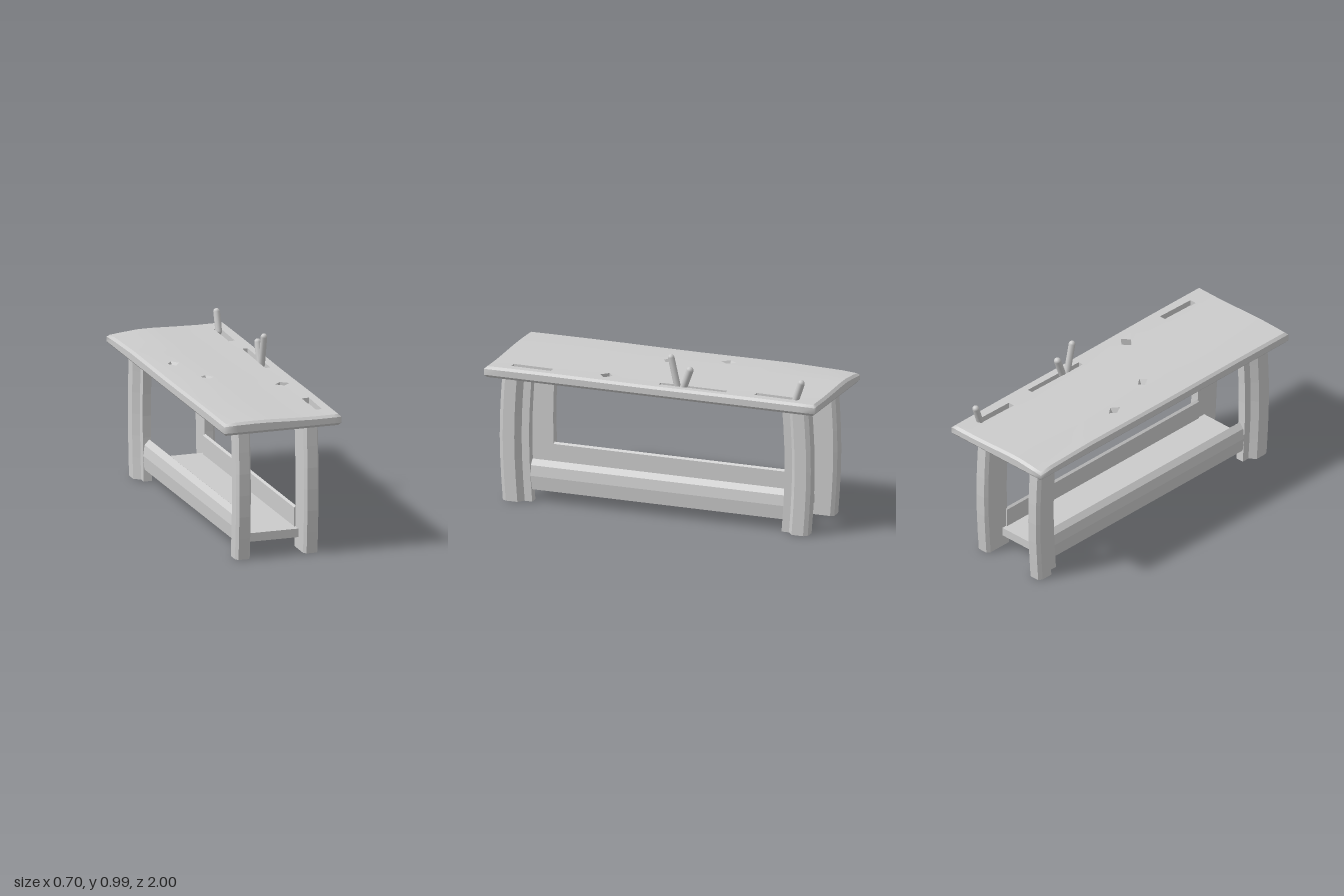
import * as THREE from 'three';
import { mergeGeometries, mergeVertices } from 'three/addons/utils/BufferGeometryUtils.js';

const smooth = new THREE.MeshStandardMaterial({ color: 0xcccccc, side: THREE.DoubleSide });
const flat = new THREE.MeshStandardMaterial({ color: 0xcccccc, side: THREE.DoubleSide, flatShading: true });
const V2 = (p) => new THREE.Vector2(p[0], -p[1]);

// Gently worn top surface
function topY(x, z) {
  const corner = Math.max(0, 1 - Math.hypot((x + 0.35) / 0.2, (z + 1) / 0.2));
  return 0.819 - 0.005 * Math.sin((x - 0.01) * 8) - 0.003 * (1 + Math.cos(z * 5)) * x * x * 4 - 0.015 * corner;
}

// Openings in the top, as [x, z] outlines
const slot = (x0, x1, z0, z1) => ({ c: [(x0 + x1) / 2, (z0 + z1) / 2], floor: 0.78,
  pts: [[x0 + 0.006, z0], [x1, z0], [x1 - 0.006, z1], [x0, z1]] });
const diamond = (x, z, a, b, skew, floor) => ({ c: [x, z], pit: floor > 0.76, floor,
  pts: [[x - a, z + skew], [x, z - b], [x + a, z - skew], [x, z + b]] });
const holes = [
  slot(0.24, 0.285, -0.87, -0.61),
  slot(0.258, 0.295, -0.44, -0.035),
  slot(0.24, 0.288, 0.62, 0.86),
  diamond(-0.21, -0.26, 0.034, 0.045, 0, 0.775),
  diamond(-0.12, 0.06, 0.037, 0.038, -0.01, 0.775),
  diamond(0.242, 0.3, 0.043, 0.038, 0, 0.75),
];

// Surface between equal-length loops of [x, y, z]
function skin(loops) {
  const n = loops[0].length, idx = [];
  for (let r = 0; r < loops.length - 1; r++) {
    for (let i = 0; i < n; i++) {
      const a = r * n + i, b = r * n + (i + 1) % n;
      idx.push(a, b, a + n, b, b + n, a + n);
    }
  }
  const g = new THREE.BufferGeometry();
  g.setAttribute('position', new THREE.Float32BufferAttribute(loops.flat(2), 3));
  g.setIndex(idx);
  g.computeVertexNormals();
  return g;
}

// Flat sheet with holes, facing up
function sheet(outline, cuts) {
  const s = new THREE.Shape(outline.map(V2));
  cuts.forEach((h) => s.holes.push(new THREE.Path(h.pts.map(V2))));
  const g = new THREE.ShapeGeometry(s).rotateX(-Math.PI / 2);
  g.deleteAttribute('uv');
  g.deleteAttribute('normal');
  return g;
}

function add(parent, name, geometry, material) {
  const m = new THREE.Mesh(geometry, material);
  m.name = name;
  parent.add(m);
  return m;
}

function makeTabletop() {
  const top = new THREE.Group();
  top.name = 'tabletop';
  const xs = [-0.335, -0.27, -0.165, -0.07, 0.06, 0.19, 0.305, 0.335];
  const zs = [-0.985, -0.9, -0.59, -0.46, -0.02, 0.2, 0.4, 0.6, 0.88, 0.985];

  // Worn surface made of tiles, each cut by the opening inside it
  const tiles = [];
  for (let i = 0; i < xs.length - 1; i++) {
    for (let j = 0; j < zs.length - 1; j++) {
      const [x0, x1, z0, z1] = [xs[i], xs[i + 1], zs[j], zs[j + 1]];
      const cuts = holes.filter(({ c }) => c[0] > x0 && c[0] < x1 && c[1] > z0 && c[1] < z1);
      tiles.push(sheet([[x0, z0], [x0, z1], [x1, z1], [x1, z0]], cuts));
    }
  }
  const surface = mergeVertices(mergeGeometries(tiles));
  const p = surface.attributes.position;
  for (let i = 0; i < p.count; i++) p.setY(i, topY(p.getX(i), p.getZ(i)));
  surface.computeVertexNormals();
  add(top, 'wornSurface', surface, smooth);

  // Rounded rim
  const ring = [
    ...zs.map((z) => [xs[0], z]), ...xs.slice(1).map((x) => [x, 0.985]),
    ...zs.slice(0, -1).reverse().map((z) => [0.335, z]), ...xs.slice(1, -1).reverse().map((x) => [x, -0.985]),
  ];
  const out = (x, z, d) => [
    x + (Math.abs(x) > 0.33 ? Math.sign(x) * d : 0), z + (Math.abs(z) > 0.98 ? Math.sign(z) * d : 0)];
  const level = (d, y) => ring.map(([x, z]) => {
    const [a, b] = out(x, z, d);
    return [a, y ?? topY(x, z) - (d ? 0.014 : 0), b];
  });
  const rim = skin([level(0.015, 0.766), level(0.015)].reverse());
  add(top, 'rim', rim, smooth);
  add(top, 'rimUpperBevel', skin([level(0), level(0.015)]), smooth);
  add(top, 'rimLowerBevel', skin([level(0.015, 0.766), level(0, 0.75)]), smooth);

  // Underside
  const under = sheet(ring, [holes[5]]).translate(0, 0.75, 0);
  under.computeVertexNormals();
  add(top, 'underside', under, flat);

  // Slot walls, pits and floors
  for (const h of holes) {
    const upper = h.pts.map(([x, z]) => [x, topY(x, z), z]);
    const lower = h.pts.map(([x, z]) => (h.pit ? [h.c[0], h.floor, h.c[1]] : [x, h.floor, z]));
    add(top, 'openingWalls', skin([upper, lower]), flat);
    if (!h.pit && h.floor > 0.76) {
      const floor = sheet(h.pts, []).translate(0, h.floor, 0);
      floor.computeVertexNormals();
      add(top, 'slotFloor', floor, flat);
    }
  }
  return top;
}

// Bowed leg with a stepped section; sx, sz pick the corner
function makeLeg(sx, sz) {
  const section = [[0, 0], [0.05, 0], [0.05, 0.045], [0.087, 0.075], [0.087, 0.145],
    [0.074, 0.168], [0.014, 0.168], [0, 0.148]];
  const baseX = sx > 0 ? 0.15 : 0.168, baseZ = sz > 0 ? 0.767 : 0.742;
  const shape = new THREE.Shape(section.map(([u, v]) => V2([sx * (baseX + u), sz * (baseZ + v)])));
  const g = new THREE.ExtrudeGeometry(shape, { depth: 0.755, steps: 6, bevelEnabled: false }).rotateX(-Math.PI / 2);
  const p = g.attributes.position;
  for (let i = 0; i < p.count; i++) {
    p.setZ(i, p.getZ(i) + sz * 0.019 * Math.sin(Math.PI * p.getY(i) / 0.78));
  }
  g.computeVertexNormals();
  return g;
}

// Side board with a softened upper edge, running along z
function makeSideBoard(sx) {
  const section = sx > 0
    ? [[0.143, 0.07], [0.19, 0.07], [0.196, 0.15], [0.186, 0.21], [0.155, 0.24], [0.143, 0.23]]
    : [[-0.168, 0.07], [-0.212, 0.07], [-0.218, 0.15], [-0.208, 0.21], [-0.18, 0.24], [-0.168, 0.23]];
  const shape = new THREE.Shape(section.map(([x, y]) => new THREE.Vector2(x, y)));
  return new THREE.ExtrudeGeometry(shape, { depth: 1.55, bevelEnabled: false }).translate(0, 0, -0.765);
}

// Round-ended tool handle between two points
function makeHandle(parent, a, b, r) {
  const from = new THREE.Vector3(...a), to = new THREE.Vector3(...b), dir = to.clone().sub(from);
  const m = add(parent, 'toolHandle', new THREE.CapsuleGeometry(r, dir.length() - r, 3, 10), smooth);
  m.position.copy(from).add(to).multiplyScalar(0.5);
  m.quaternion.setFromUnitVectors(new THREE.Vector3(0, 1, 0), dir.normalize());
}

export function createModel() {
  const bench = new THREE.Group();
  bench.name = 'workbench';
  bench.add(makeTabletop());

  for (const sx of [1, -1]) {
    for (const sz of [1, -1]) {
      add(bench, `${sz > 0 ? 'front' : 'back'}${sx > 0 ? 'Left' : 'Right'}Leg`, makeLeg(sx, sz), flat);
    }
    add(bench, sx > 0 ? 'leftSideBoard' : 'rightSideBoard', makeSideBoard(sx), flat);
  }

  // Lower shelf
  add(bench, 'shelf', new THREE.BoxGeometry(0.322, 0.05, 1.63), flat).position.set(-0.009, 0.095, 0.02);

  // Handles standing in the slots
  makeHandle(bench, [0.275, 0.795, -0.145], [0.275, 0.985, -0.102], 0.019);
  makeHandle(bench, [0.278, 0.795, -0.175], [0.278, 0.923, -0.222], 0.021);
  makeHandle(bench, [0.268, 0.795, -0.85], [0.268, 0.92, -0.892], 0.02);
  return bench;
}
